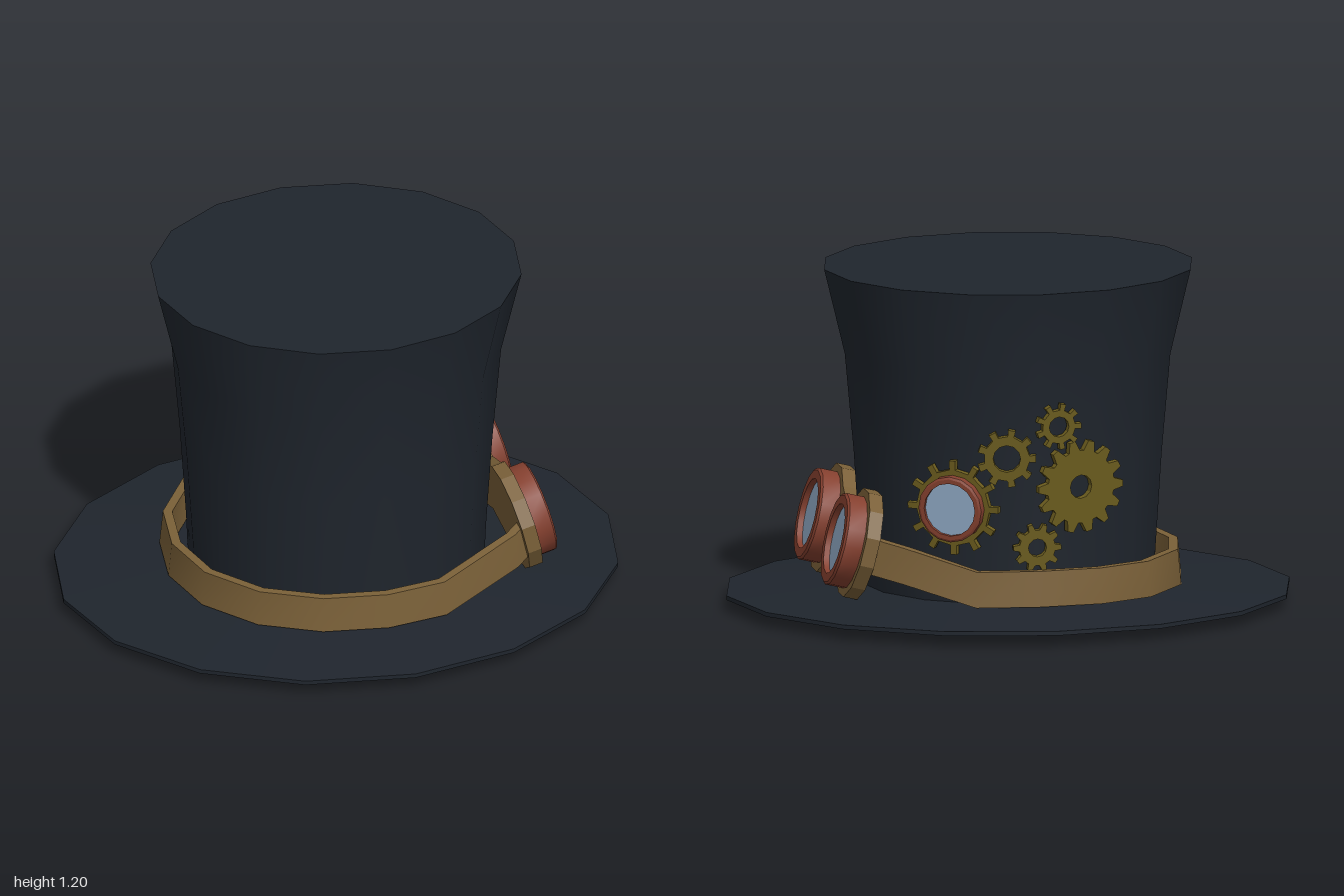
import * as THREE from 'three';
import { toCreasedNormals } from 'three/addons/utils/BufferGeometryUtils.js';

const paint = (color) => new THREE.MeshStandardMaterial({ color });
const felt = paint(0x1f252d);
const leather = paint(0x7a6038);
const copper = paint(0x85402f);
const glass = paint(0x8fa9c4);
const brass = paint(0x6b5c1e);

function add(parent, name, geometry, material) {
  const mesh = new THREE.Mesh(geometry, material);
  mesh.name = name;
  parent.add(mesh);
  return mesh;
}

// Sixteen-sided oval lathe; each profile point is [x radius, y, z radius]
function ovalLathe(profile) {
  const geo = new THREE.LatheGeometry(profile.map(([r, y]) => new THREE.Vector2(r, y)), 16);
  const pos = geo.attributes.position;
  for (let i = 0; i < pos.count; i++) {
    const [rx, , rz] = profile[i % profile.length];
    if (rx > 0) pos.setZ(i, pos.getZ(i) * rz / rx);
  }
  return toCreasedNormals(geo, 0.5);
}

// Strap swept along [x, z, bottom height] points with a rectangular section
function strapGeometry(path, height, thickness) {
  const verts = [], index = [];
  path.forEach(([x, z, y]) => {
    const r = Math.hypot(x, z);
    const put = (offset, h) => verts.push(x * (1 + offset / r), y + h, z * (1 + offset / r));
    put(0, 0);
    put(-0.012, height);
    put(-thickness, height);
    put(-thickness, 0);
  });
  for (let i = 0; i < path.length - 1; i++) {
    for (let j = 0; j < 4; j++) {
      const a = i * 4 + j, b = i * 4 + (j + 1) % 4;
      index.push(a, b, a + 4, b, b + 4, a + 4);
    }
  }
  const e = (path.length - 1) * 4;
  index.push(0, 2, 1, 0, 3, 2, e, e + 1, e + 2, e, e + 2, e + 3);
  const geo = new THREE.BufferGeometry();
  geo.setAttribute('position', new THREE.Float32BufferAttribute(verts, 3));
  geo.setIndex(index);
  return toCreasedNormals(geo, 0.6);
}

// Copper rim with a glass disc, facing local +z
function eyepiece(name, outer, inner, depth) {
  const group = new THREE.Group();
  group.name = name;
  const profile = [
    [inner, 0], [outer, 0], [outer, depth * 0.9], [outer - 0.008, depth],
    [inner, depth], [inner, 0],
  ].map(([r, y]) => new THREE.Vector2(r, y));
  const rim = toCreasedNormals(new THREE.LatheGeometry(profile, 16), 0.5);
  add(group, 'rim', rim.rotateX(Math.PI / 2), copper);
  add(group, 'lens', new THREE.CircleGeometry(inner, 16), glass).position.z = depth * 0.7;
  return group;
}

// Flat gear: tooth root and tip are fractions of one tooth pitch
function gearGeometry(outer, body, hole, teeth, root, tip) {
  const shape = new THREE.Shape();
  const pitch = Math.PI * 2 / teeth;
  for (let i = 0; i < teeth; i++) {
    const corners = [[-root / 2, body], [-tip / 2, outer], [tip / 2, outer], [root / 2, body]];
    corners.forEach(([f, r], k) => {
      const a = (i + f) * pitch;
      const p = [r * Math.cos(a), r * Math.sin(a)];
      if (i + k === 0) shape.moveTo(...p);
      else shape.lineTo(...p);
    });
  }
  shape.closePath();
  shape.holes.push(new THREE.Path().absarc(0, 0, hole, 0, Math.PI * 2, true));
  return new THREE.ExtrudeGeometry(shape, { depth: 0.025, bevelEnabled: false, curveSegments: 6 });
}

// Double-lobed goggle backing plate with a narrow bridge
function plateGeometry(spacing, radius) {
  const points = [];
  for (const side of [1, -1]) {
    for (let deg = -135; deg <= 135; deg += 30) {
      const a = THREE.MathUtils.degToRad(deg);
      points.push(new THREE.Vector2(side * (spacing + radius * Math.cos(a)), side * radius * Math.sin(a)));
    }
    points.push(new THREE.Vector2(0, side * 0.1));
  }
  return new THREE.ExtrudeGeometry(new THREE.Shape(points), { depth: 0.05, bevelEnabled: false });
}

export function createModel() {
  const hat = new THREE.Group();
  hat.name = 'topHat';

  // Hollow crown and brim in one continuous profile
  add(hat, 'crownAndBrim', ovalLathe([
    [0, 1.17, 0], [0.62, 1.17, 0.595], [0.555, 0.9, 0.54], [0.505, 0.3, 0.505], [0.5, 0, 0.48],
    [1, 0.04, 0.9], [1, 0.055, 0.9], [0.52, 0.085, 0.52],
    [0.525, 0.2, 0.523], [0.548, 0.55, 0.542], [0.58, 0.9, 0.562], [0.653, 1.2, 0.624], [0, 1.2, 0],
  ]), felt);

  // Leather strap around the crown, rising to the goggles
  add(hat, 'strap', strapGeometry([
    [0.59, 0.41, 0.19], [0.52, 0.46, 0.165], [0.22, 0.575, 0.085], [0, 0.603, 0.085],
    [-0.23, 0.56, 0.085], [-0.43, 0.44, 0.085], [-0.57, 0.24, 0.085], [-0.615, 0, 0.085],
    [-0.57, -0.24, 0.085], [-0.42, -0.46, 0.085], [-0.23, -0.56, 0.085], [0, -0.587, 0.085],
    [0.22, -0.565, 0.085], [0.46, -0.47, 0.16], [0.59, -0.37, 0.19],
  ], 0.125, 0.045), leather);

  // Goggles tilted back on the +x side
  const goggles = new THREE.Group();
  goggles.name = 'goggles';
  goggles.position.set(0.545, 0.26, 0.02);
  goggles.rotation.set(-0.24, Math.PI / 2, 0, 'YXZ');
  add(goggles, 'backingPlate', plateGeometry(0.25, 0.195), leather);
  for (const side of [-1, 1]) {
    const eye = eyepiece('eyepiece', 0.165, 0.125, 0.07);
    eye.position.set(side * 0.25, 0, 0.05);
    goggles.add(eye);
  }
  hat.add(goggles);

  // Gear cluster at the back: x, y, z, then outer, body, hole, teeth, root, tip
  const gears = [
    ['monocleGear', 0.275, 0.43, -0.46, 0.168, 0.135, 0.09, 12, 0.3, 0.26],
    ['largeGear', -0.15, 0.5, -0.515, 0.165, 0.13, 0.042, 14, 0.75, 0.3],
    ['middleGear', 0.105, 0.61, -0.53, 0.103, 0.08, 0.048, 9, 0.4, 0.36],
    ['upperGear', -0.07, 0.72, -0.545, 0.082, 0.06, 0.036, 9, 0.4, 0.36],
    ['lowerGear', 0, 0.29, -0.525, 0.085, 0.064, 0.032, 10, 0.6, 0.3],
  ];
  for (const [name, x, y, z, ...size] of gears) {
    const gear = new THREE.Group();
    gear.name = name;
    gear.position.set(x, y, z);
    gear.rotation.set(0.05, Math.atan2(x, z), 0, 'YXZ');
    add(gear, 'cog', gearGeometry(...size), brass);
    if (name === 'monocleGear') {
      const monocle = eyepiece('monocle', 0.117, 0.094, 0.045);
      monocle.position.z = 0.015;
      gear.add(monocle);
    }
    hat.add(gear);
  }
  return hat;
}
